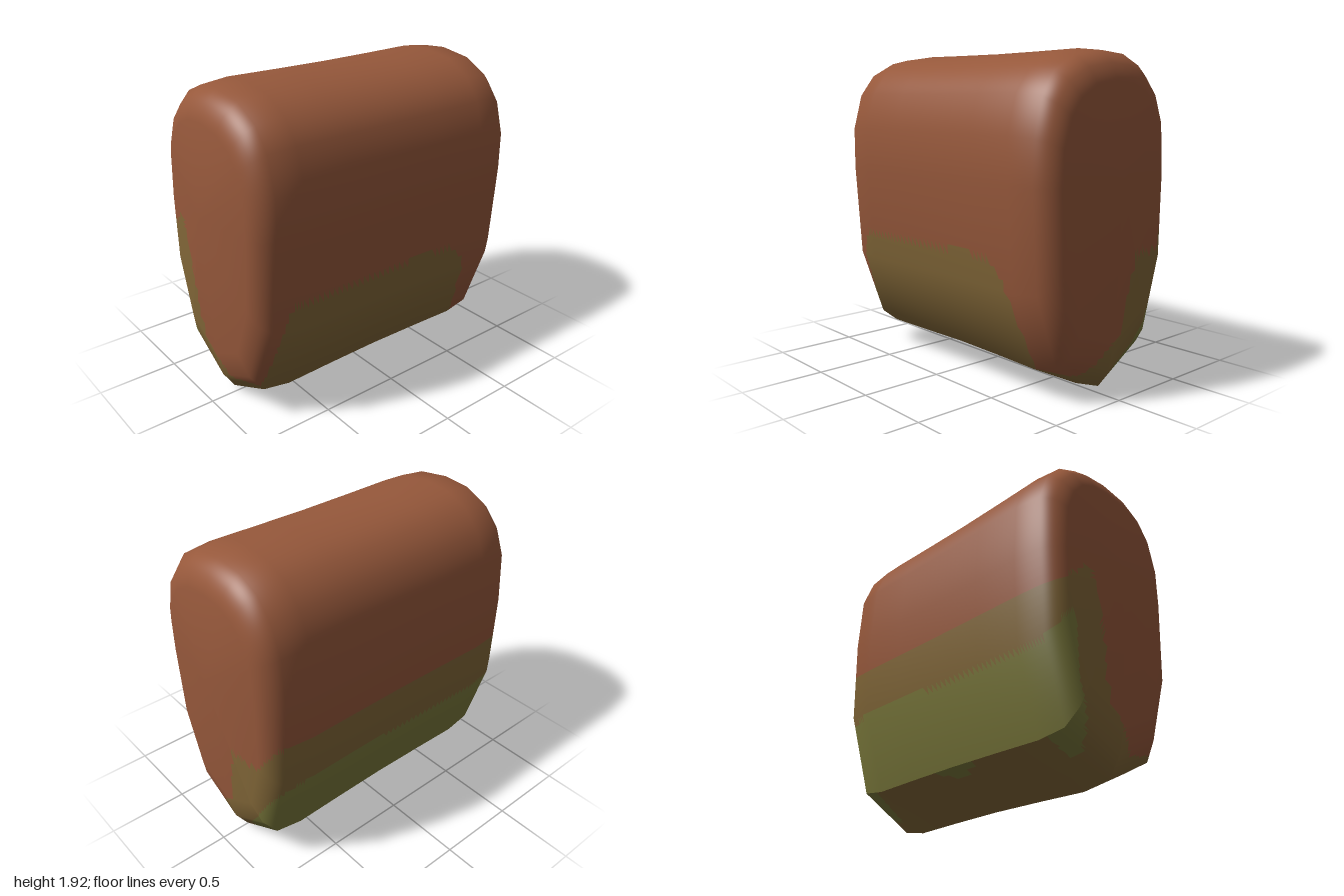
import * as THREE from 'three';

// Closed side profile as [z, y]: keel, up the back, over the top, down the front.
// Repeated points make a crease.
const PROFILE = [
  [-0.02, 0], [-0.36, 0.2], [-0.36, 0.2], [-0.505, 0.68], [-0.52, 1.2], [-0.5, 1.55],
  [-0.43, 1.73], [-0.32, 1.85], [-0.18, 1.91], [0, 1.925], [0.21, 1.895], [0.37, 1.81],
  [0.47, 1.68], [0.53, 1.46], [0.53, 1.2], [0.49, 0.62], [0.33, 0.17], [-0.02, 0],
];
// Half the width as [x, scale of the profile]
const HALF = [[0.35, 0.994], [0.66, 1], [0.83, 0.975], [0.905, 0.88], [0.945, 0.74], [1, 0]];
const SECTIONS = [...HALF.map(([x, s]) => [-x, s]).reverse(), [0, 0.99], ...HALF];
const CENTRE_Y = 1.22;
const STEPS = 9;

// Upper borders of the painted zones
const FRONT_BAND = [[-0.92, 0.1], [-0.84, 0.25], [-0.79, 0.6], [-0.75, 0.76], [-0.68, 0.79],
  [-0.3, 0.785], [0.3, 0.8], [0.5, 0.77], [0.6, 0.65], [0.68, 0.18], [0.85, 0.14], [1, 0.1]];
const BROWN_LEFT = [[-0.52, 0.98], [-0.47, 0.95], [-0.37, 0.8], [-0.16, 0.8], [-0.07, 0.38],
  [0.15, 0.14], [0.2, 0]];
const BROWN_RIGHT = [[-0.52, 0.95], [-0.25, 1.15], [-0.2, 1], [-0.13, 0.43], [0.1, 0.15], [0.3, 0.1]];
const GREEN_LEFT = [[-0.505, 0.68], [-0.37, 0.5], [-0.28, 0.35], [-0.12, 0.13], [-0.1, 0]];
const GREEN_RIGHT = [[-0.5, 0.65], [-0.42, 0.8], [-0.37, 0.85], [-0.32, 0.45], [-0.2, 0.1], [-0.15, 0]];

// Height of a border line at position t
function lookup(line, t) {
  if (t <= line[0][0]) return line[0][1];
  for (let i = 1; i < line.length; i++) {
    const [t0, v0] = line[i - 1];
    const [t1, v1] = line[i];
    if (t <= t1) return v0 + ((v1 - v0) * (t - t0)) / (t1 - t0);
  }
  return line[line.length - 1][1];
}

// 0 rust, 1 olive brown, 2 olive green
function zoneAt({ x, y, z }) {
  const underside = y < -z * 0.56 + 0.008;
  if (z < -0.1 && !underside && y < lookup(x > 0 ? GREEN_LEFT : GREEN_RIGHT, z)) return 2;
  if (z > 0 && y < lookup(FRONT_BAND, x)) return 1;
  return y < lookup(x > 0 ? BROWN_LEFT : BROWN_RIGHT, z) ? 1 : 0;
}

// Coarse loft that gives the shape and its smooth normals
function coarseLoft() {
  const cols = PROFILE.length;
  const positions = [];
  const index = [];
  SECTIONS.forEach(([x, s], i) => {
    PROFILE.forEach(([z, y], j) => {
      positions.push(x, CENTRE_Y + (y - CENTRE_Y) * s, z * s);
      if (i + 1 < SECTIONS.length && j + 1 < cols) {
        const a = i * cols + j;
        const b = a + cols;
        index.push(a, a + 1, b + 1, a, b + 1, b);
      }
    });
  });
  const g = new THREE.BufferGeometry();
  g.setAttribute('position', new THREE.Float32BufferAttribute(positions, 3));
  g.setIndex(index);
  g.computeVertexNormals();
  const n = g.getAttribute('normal');
  for (let j = 0; j < cols; j++) {
    n.setXYZ(j, -1, 0, 0);
    n.setXYZ((SECTIONS.length - 1) * cols + j, 1, 0, 0);
  }
  return g;
}

// Subdivide each patch and sort its triangles by colour zone
function bodyGeometries() {
  const loft = coarseLoft();
  const cols = PROFILE.length;
  const zones = [0, 1, 2].map(() => ({ position: [], normal: [] }));
  const sample = (name, i, j, u, v) => {
    const attr = loft.getAttribute(name);
    const at = (k) => new THREE.Vector3().fromBufferAttribute(attr, k);
    const a = i * cols + j;
    return at(a).lerp(at(a + cols), u).lerp(at(a + 1).lerp(at(a + cols + 1), u), v);
  };
  for (let i = 0; i < SECTIONS.length - 1; i++) {
    for (let j = 0; j < cols - 1; j++) {
      if (PROFILE[j][0] === PROFILE[j + 1][0] && PROFILE[j][1] === PROFILE[j + 1][1]) continue;
      const patch = [];
      for (let p = 0; p <= STEPS; p++) {
        for (let q = 0; q <= STEPS; q++) {
          patch.push({
            position: sample('position', i, j, p / STEPS, q / STEPS),
            normal: sample('normal', i, j, p / STEPS, q / STEPS).normalize(),
          });
        }
      }
      for (let p = 0; p < STEPS; p++) {
        for (let q = 0; q < STEPS; q++) {
          const a = p * (STEPS + 1) + q;
          const b = a + STEPS + 1;
          for (const tri of [[a, a + 1, b + 1], [a, b + 1, b]]) {
            const corners = tri.map((k) => patch[k]);
            const mid = new THREE.Vector3();
            corners.forEach((c) => mid.addScaledVector(c.position, 1 / 3));
            const zone = zones[zoneAt(mid)];
            for (const c of corners) {
              zone.position.push(...c.position.toArray());
              zone.normal.push(...c.normal.toArray());
            }
          }
        }
      }
    }
  }
  return zones.map((zone) => {
    const g = new THREE.BufferGeometry();
    g.setAttribute('position', new THREE.Float32BufferAttribute(zone.position, 3));
    g.setAttribute('normal', new THREE.Float32BufferAttribute(zone.normal, 3));
    return g;
  });
}

export function createModel() {
  const group = new THREE.Group();
  group.name = 'roundedBody';
  const paints = [
    ['mainShell', 'rust', 0x96583b],
    ['lowerBand', 'oliveBrown', 0x826738],
    ['backPatch', 'oliveGreen', 0x7a783b],
  ];
  bodyGeometries().forEach((geometry, k) => {
    const [part, colourName, color] = paints[k];
    const material = new THREE.MeshStandardMaterial({ color });
    material.name = colourName;
    const mesh = new THREE.Mesh(geometry, material);
    mesh.name = part;
    group.add(mesh);
  });
  return group;
}
